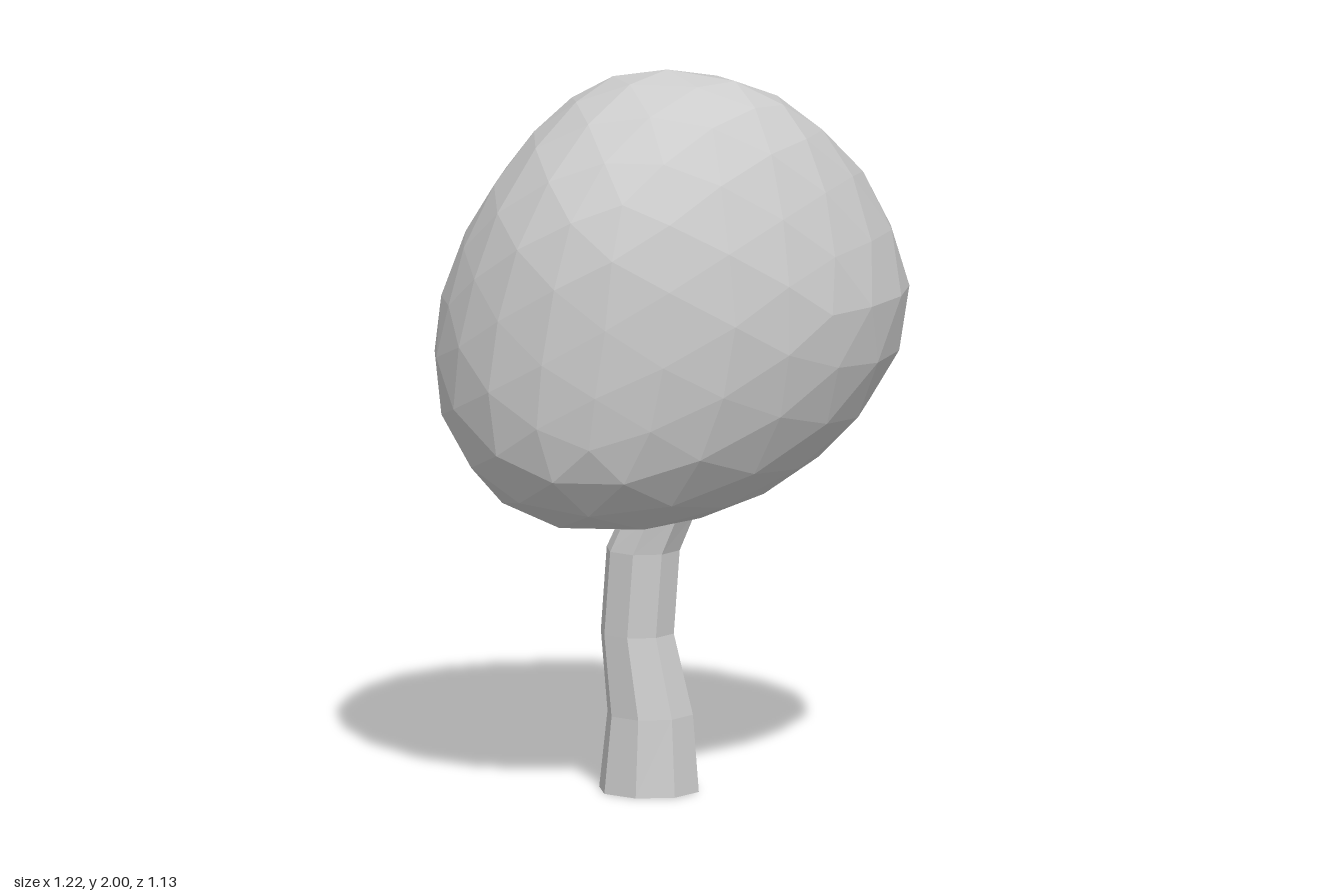
import * as THREE from 'three';

const material = new THREE.MeshStandardMaterial({ color: 0xcccccc, flatShading: true });

// Crown extents from bottom to top, at even polar angles: [min, max]
const crownX = [[-0.1, -0.1], [-0.35, 0.17], [-0.51, 0.4], [-0.61, 0.56], [-0.595, 0.615],
  [-0.49, 0.54], [-0.34, 0.42], [-0.17, 0.26], [0.03, 0.03]];
const crownZ = [[0.1, 0.1], [-0.18, 0.36], [-0.4, 0.52], [-0.54, 0.565], [-0.565, 0.56],
  [-0.5, 0.52], [-0.3, 0.39], [-0.07, 0.2], [0.08, 0.08]];

// Trunk rings: [y, xMin, xMax, zMin, zMax]
const trunkRings = [
  [0, -0.18, 0.1, -0.11, 0.16],
  [0.21, -0.16, 0.08, -0.105, 0.135],
  [0.43, -0.18, 0.025, -0.09, 0.115],
  [0.66, -0.165, 0.04, -0.095, 0.11],
  [0.76, -0.12, 0.08, -0.105, 0.105],
  [0.86, -0.08, 0.1, -0.09, 0.09],
];

const extentCurve = (rows) => new THREE.CatmullRomCurve3(
  rows.map(([lo, hi]) => new THREE.Vector3(lo, hi, 0)), false, 'catmullrom', 0.5);

// Faceted ball reshaped into a lopsided crown with skewed elliptical sections
function crownGeometry() {
  const geometry = new THREE.IcosahedronGeometry(1, 3);
  const p = geometry.attributes.position;
  const xs = extentCurve(crownX), zs = extentCurve(crownZ);
  for (let i = 0; i < p.count; i++) {
    const s = THREE.MathUtils.clamp(p.getY(i), -1, 1);
    const t = Math.acos(-s) / Math.PI;
    const angle = Math.atan2(p.getZ(i), p.getX(i));
    const skew = 0.2 + 0.1 * Math.cos(angle);
    const x = xs.getPoint(t), z = zs.getPoint(t);
    p.setXYZ(i,
      (x.x + x.y) / 2 + (x.y - x.x) / 2 * Math.cos(angle),
      1.365 + 0.635 * s,
      (z.x + z.y) / 2 + (z.y - z.x) / 2 * Math.sin(angle - skew));
  }
  geometry.computeVertexNormals();
  return geometry;
}

// Eight-sided column bent and tapered ring by ring
function trunkGeometry() {
  const last = trunkRings.length - 1;
  const geometry = new THREE.CylinderGeometry(1, 1, 1, 8, last);
  geometry.rotateY(0.05);
  const p = geometry.attributes.position;
  for (let i = 0; i < p.count; i++) {
    const [y, x0, x1, z0, z1] = trunkRings[Math.round((p.getY(i) + 0.5) * last)];
    p.setXYZ(i,
      (x0 + x1) / 2 + (x1 - x0) / 2 * p.getX(i),
      y,
      (z0 + z1) / 2 + (z1 - z0) / 2 * p.getZ(i));
  }
  geometry.computeVertexNormals();
  return geometry;
}

export function createModel() {
  const tree = new THREE.Group();
  tree.name = 'tree';
  for (const [name, geometry] of [['crown', crownGeometry()], ['trunk', trunkGeometry()]]) {
    const mesh = new THREE.Mesh(geometry, material);
    mesh.name = name;
    tree.add(mesh);
  }
  return tree;
}
